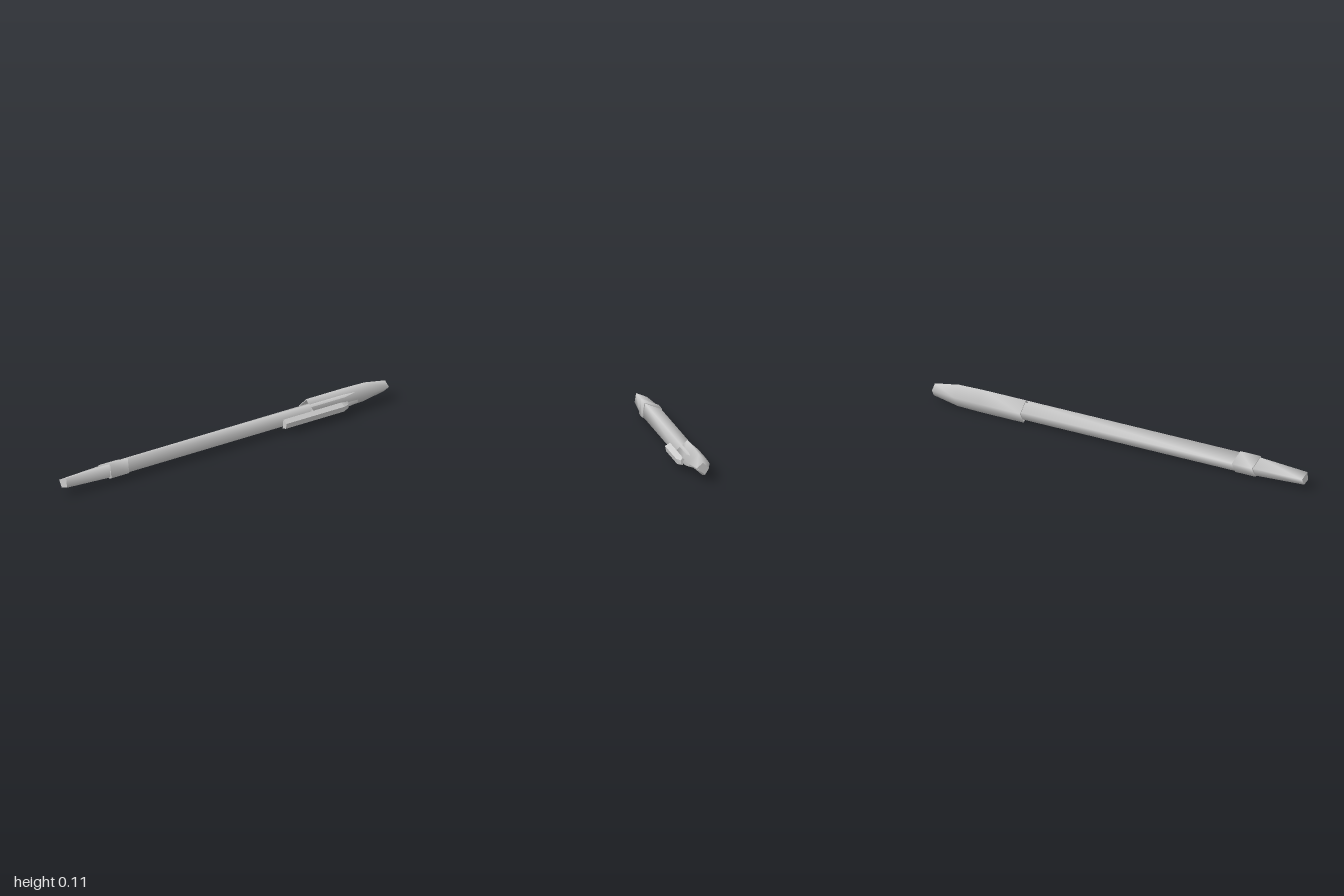
import * as THREE from 'three';
import { mergeGeometries } from 'three/addons/utils/BufferGeometryUtils.js';

const material = new THREE.MeshStandardMaterial({ color: 0xcccccc, side: THREE.DoubleSide });

// Cross-sections, counter-clockwise as seen from +z
const barrelSection = [[-0.058, 0.065], [-0.027, 0.012], [0.033, 0.028], [0.022, 0.095]];
const capSection = [[-0.012, 0.111], [-0.068, 0.062], [-0.032, 0.002], [0.04, 0.063]];
const clipSection = [[0.042, 0.068], [0.037, 0.022], [0.06, 0.027], [0.066, 0.053]];
const barrelCentre = [-0.012, 0.053];
const capCentre = [-0.018, 0.058];

function scaled(points, [cx, cy], s) {
  return points.map(([x, y]) => [cx + (x - cx) * s, cy + (y - cy) * s]);
}

function surface(positions, index) {
  const g = new THREE.BufferGeometry();
  g.setAttribute('position', new THREE.Float32BufferAttribute(positions, 3));
  g.setIndex(index);
  g.computeVertexNormals();
  return g;
}

// Skin through rings ordered by z; the sides are smooth, end faces are flat
function loft(name, rings, { front = true, back = true, flat = false } = {}) {
  const n = rings[0].points.length;
  const index = [];
  for (let k = 0; k < rings.length - 1; k++) {
    for (let i = 0; i < n; i++) {
      const a = k * n + i, b = k * n + (i + 1) % n;
      index.push(a, b, b + n, a, b + n, a + n);
    }
  }
  const ringPositions = ({ z, points }) => points.flatMap(([x, y]) => [x, y, z]);
  let sides = surface(rings.flatMap(ringPositions), index);
  if (flat) {
    sides = sides.toNonIndexed();
    sides.computeVertexNormals();
  }
  const parts = [sides];
  const endFace = (ring, forward) => {
    const fan = [];
    for (let i = 1; i < n - 1; i++) fan.push(...(forward ? [0, i, i + 1] : [0, i + 1, i]));
    parts.push(surface(ringPositions(ring), fan));
  };
  if (back) endFace(rings[0], false);
  if (front) endFace(rings[rings.length - 1], true);
  const geometry = mergeGeometries(parts.map((p) => (p.index ? p.toNonIndexed() : p)));
  const mesh = new THREE.Mesh(geometry, material);
  mesh.name = name;
  return mesh;
}

export function createModel() {
  const group = new THREE.Group();
  group.name = 'pen';
  const barrel = (z, s) => ({ z, points: scaled(barrelSection, barrelCentre, s) });
  const cap = (z, s) => ({ z, points: scaled(capSection, capCentre, s) });

  // Long barrel, ending inside the cap
  group.add(loft('barrel', [barrel(-0.8, 0.75), barrel(-0.72, 0.95), barrel(0.65, 0.95)]));

  // Raised collar and the tapered writing end
  group.add(loft('collar', [barrel(0.63, 1.05), barrel(0.74, 1.05)]));
  group.add(loft('tip', [barrel(0.73, 0.93), barrel(1, 0.64)]));

  // Hollow cap: outer skin, inner wall and the rim joining them
  group.add(loft('cap', [cap(-1, 0.53), cap(-0.87, 0.94), cap(-0.74, 1), cap(-0.51, 1)], { front: false }));
  group.add(loft('capInnerWall', [cap(-0.84, 0.86), cap(-0.51, 0.9)], { front: false }));
  group.add(loft('capRim', [cap(-0.51, 1), cap(-0.5099, 0.9)], { front: false, back: false, flat: true }));

  // Pocket clip with a slanted rear end
  const clipEnd = clipSection.map(([x, y]) => [0.039 + (x - 0.037) * 0.35, 0.047 + (y - 0.047) * 0.75]);
  group.add(loft('clip', [
    { z: -0.72, points: clipEnd },
    { z: -0.68, points: clipSection },
    { z: -0.32, points: clipSection },
  ], { flat: true }));

  // Bridge holding the clip to the cap
  const bridgeSection = [[0.022, 0.066], [0.022, 0.05], [0.045, 0.045], [0.047, 0.06]];
  group.add(loft('clipBridge', [
    { z: -0.7, points: bridgeSection },
    { z: -0.51, points: bridgeSection },
  ], { flat: true }));

  return group;
}
